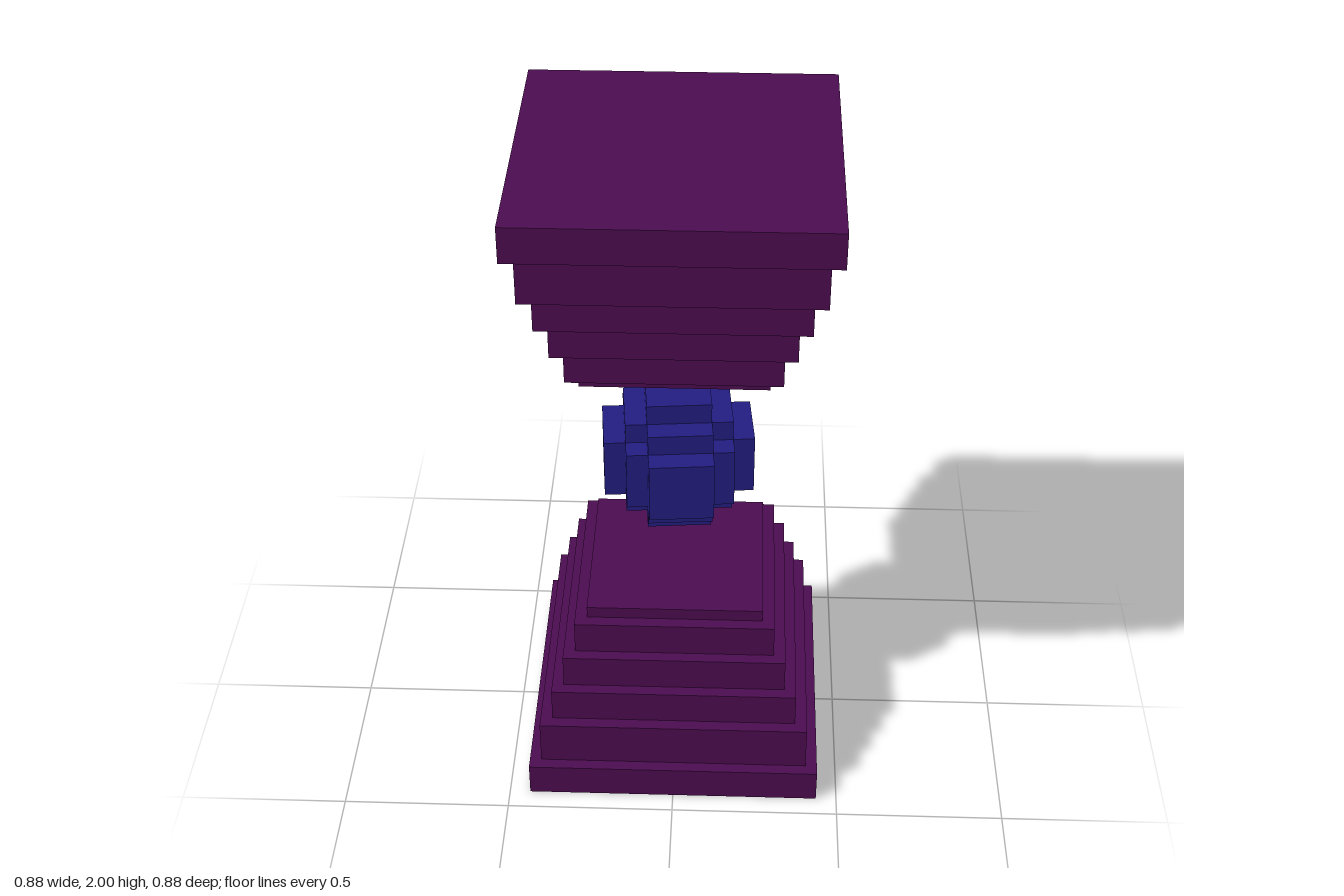
import * as THREE from 'three';

const purple = new THREE.MeshStandardMaterial({ color: 0x4b0c4f });
const blue = new THREE.MeshStandardMaterial({ color: 0x231c80 });

// Square tiers of the pedestal: [half width, bottom, top]
const TIERS = [
  [0.438, 0, 0.105],
  [0.403, 0.105, 0.247],
  [0.367, 0.247, 0.353],
  [0.332, 0.353, 0.459],
  [0.297, 0.459, 0.563],
  [0.261, 0.563, 0.6],
];

// Stepped pyramid; inverted ones hang down from y = 2
function createPyramid(name, inverted) {
  const group = new THREE.Group();
  group.name = name;
  TIERS.forEach(([half, bottom, top], i) => {
    const tier = new THREE.Mesh(new THREE.BoxGeometry(half * 2, top - bottom, half * 2), purple);
    const y = (bottom + top) / 2;
    tier.position.y = inverted ? 2 - y : y;
    tier.name = `${name}Tier${i + 1}`;
    group.add(tier);
  });
  return group;
}

// Four-fold stepped outline from the corner points of one quadrant
function steppedShape(corners) {
  const points = [];
  for (let q = 0; q < 4; q++) {
    const turn = (q * Math.PI) / 2;
    for (const [x, y] of corners) {
      points.push(new THREE.Vector2(x, y).rotateAround(new THREE.Vector2(), turn));
    }
  }
  return new THREE.Shape(points);
}

// Blocky sphere, seven blocks across, turned slightly about y
function createOrb() {
  const orb = new THREE.Group();
  orb.name = 'orb';
  const [a, b, c] = [0.0935, 0.156, 0.2185];
  const cap = [[a, a]];
  const cross = [[b, a], [a, a], [a, b]];
  const belt = [[c, a], [b, a], [b, b], [a, b], [a, c]];
  const layers = [
    ['orbBottom', cap, -c, -b],
    ['orbLowerRing', cross, -b, -a],
    ['orbBelt', belt, -a, a],
    ['orbUpperRing', cross, a, b],
    ['orbTop', cap, b, c],
  ];
  for (const [name, corners, bottom, top] of layers) {
    const geometry = new THREE.ExtrudeGeometry(steppedShape(corners), {
      depth: top - bottom,
      bevelEnabled: false,
    });
    geometry.rotateX(-Math.PI / 2);
    const layer = new THREE.Mesh(geometry, blue);
    layer.position.y = bottom;
    layer.name = name;
    orb.add(layer);
  }
  orb.position.y = 1.003;
  orb.rotation.y = THREE.MathUtils.degToRad(5);
  return orb;
}

export function createModel() {
  const model = new THREE.Group();
  model.name = 'floatingOrbPedestal';
  model.add(createPyramid('base', false), createPyramid('canopy', true), createOrb());
  return model;
}
